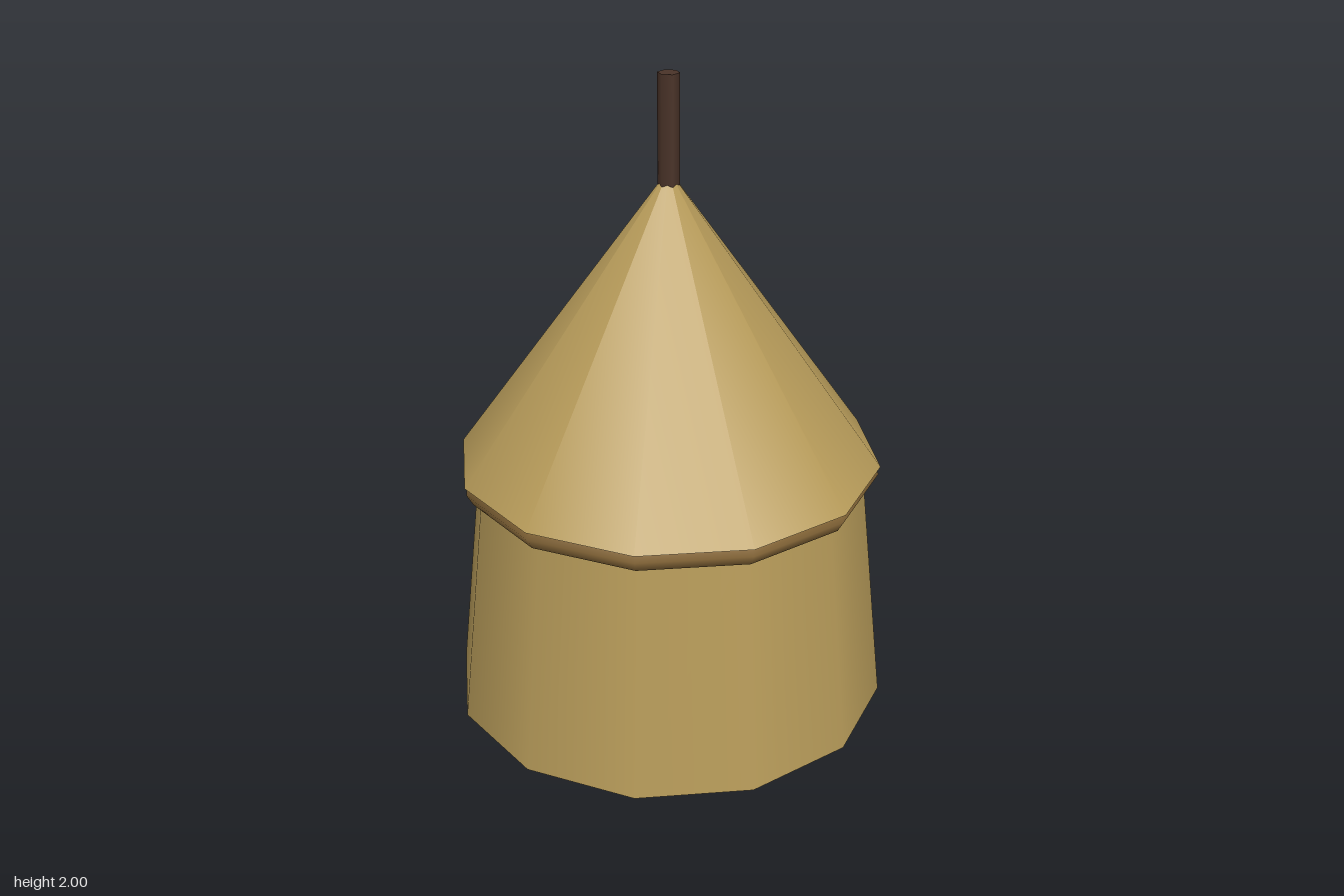
import * as THREE from 'three';

const SIDES = 12;

export function createModel() {
  const group = new THREE.Group();
  const straw = new THREE.MeshStandardMaterial({ color: 0xb89c5a });
  const rope = new THREE.MeshStandardMaterial({ color: 0x8a6a3a });
  const wood = new THREE.MeshStandardMaterial({ color: 0x4a3328 });

  const add = (name, geometry, material, y) => {
    const mesh = new THREE.Mesh(geometry, material);
    mesh.name = name;
    mesh.position.y = y;
    group.add(mesh);
  };

  // Tapered round wall, standing on the ground
  const wallHeight = 0.8;
  add('wall', new THREE.CylinderGeometry(0.6, 0.685, wallHeight, SIDES), straw, wallHeight / 2);

  // Rope ring under the eaves
  add('eavesRing', new THREE.TorusGeometry(0.61, 0.04, 6, SIDES).rotateX(Math.PI / 2), rope, 0.775);

  // Conical thatched roof
  const roofHeight = 0.915;
  add('roof', new THREE.ConeGeometry(0.655, roofHeight, SIDES), straw, 0.8 + roofHeight / 2);

  // Six-sided pole through the roof tip
  const poleHeight = 0.33;
  add('pole', new THREE.CylinderGeometry(0.033, 0.033, poleHeight, 6), wood, 2 - poleHeight / 2);

  return group;
}
